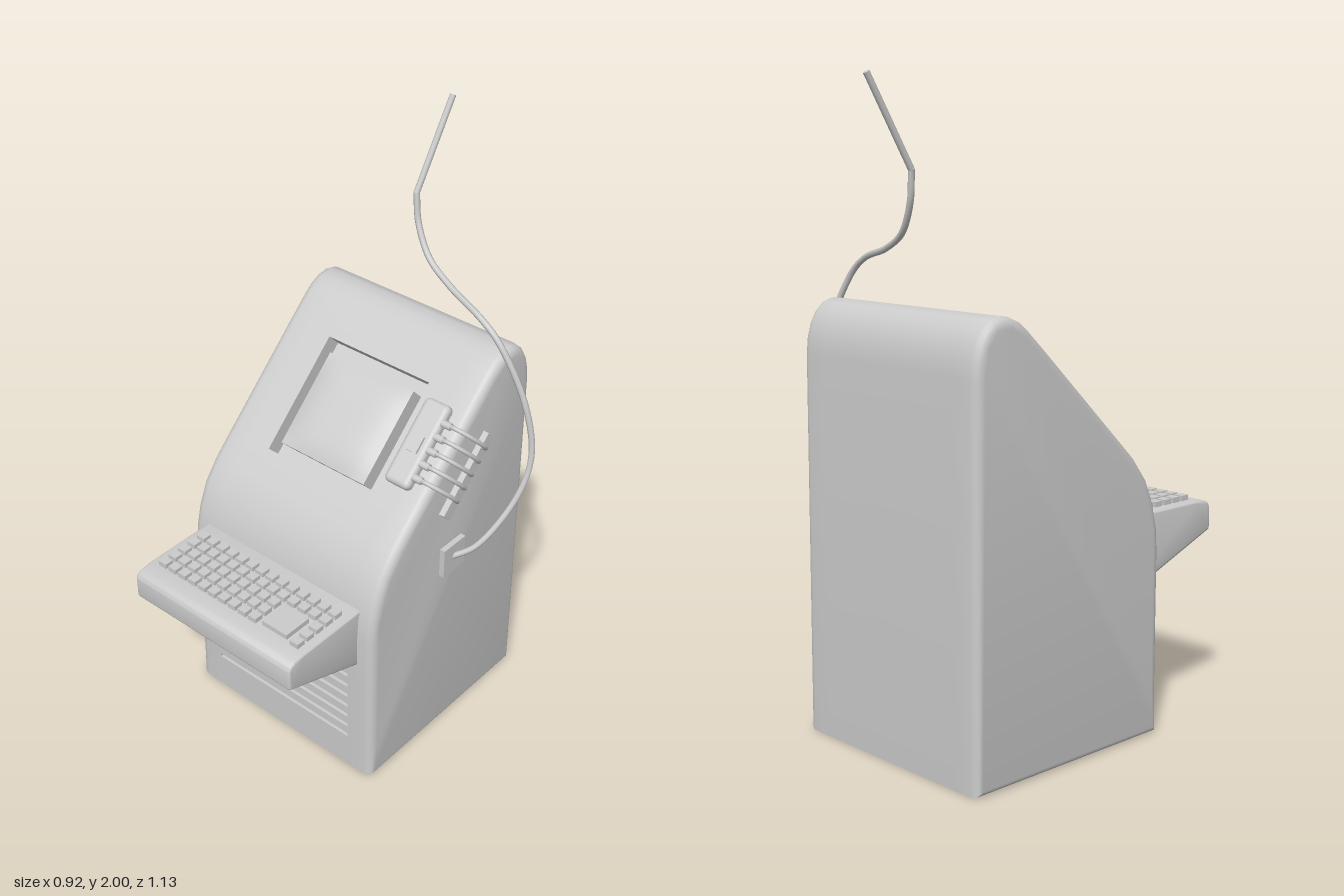
import * as THREE from 'three';
import { toCreasedNormals } from 'three/addons/utils/BufferGeometryUtils.js';
import { RoundedBoxGeometry } from 'three/addons/geometries/RoundedBoxGeometry.js';

const grey = new THREE.MeshStandardMaterial({ color: 0xcccccc });
const V = (x, y, z) => new THREE.Vector3(x, y, z);

function add(parent, name, geometry, x = 0, y = 0, z = 0) {
  const mesh = new THREE.Mesh(geometry, grey);
  mesh.name = name;
  mesh.position.set(x, y, z);
  parent.add(mesh);
  return mesh;
}

const box = (w, h, d) => new THREE.BoxGeometry(w, h, d);
const tube = (points, segments, radius) =>
  new THREE.TubeGeometry(new THREE.CatmullRomCurve3(points), segments, radius, 8);

// Cabinet: side profile swept across x with rounded ends, leaving out recessed openings
function cabinetGeometry() {
  const X0 = -0.46, X1 = 0.31, R = 0.03, STEPS = 4;
  const profile = [[0.26, 0]]; // [z, y], up the front, over the top, down the back
  const holes = [];
  for (let i = 0; i < 7; i++) {
    const y = 0.135 + i * 0.0445;
    holes.push({ j: profile.length, x0: -0.365, x1: 0.21, depth: 0.015 });
    profile.push([0.26, y - 0.007], [0.26, y + 0.007]);
  }
  profile.push([0.26, 0.58], [0.255, 0.65], [0.236, 0.73], [0.202, 0.81], [0.148, 0.88]);
  holes.push({ j: profile.length, x0: -0.28, x1: 0.125, depth: 0.06 });
  profile.push([0.075, 0.95], [-0.22, 1.23], [-0.295, 1.3], [-0.325, 1.323], [-0.36, 1.339],
    [-0.4, 1.345], [-0.435, 1.335], [-0.462, 1.31], [-0.482, 1.275], [-0.495, 1.23], [-0.5, 1.18], [-0.5, 0]);

  const n = profile.length;
  const edgeNormal = j => {
    const a = profile[(j + n) % n], b = profile[(j + 1) % n];
    return new THREE.Vector2(b[1] - a[1], a[0] - b[0]).normalize();
  };
  const normals = profile.map((p, j) => edgeNormal(j).add(edgeNormal(j - 1)).normalize());

  // Stations across the width: [x, inset of the profile]
  const stations = [];
  for (let k = 0; k <= STEPS; k++) {
    const a = k / STEPS * Math.PI / 2;
    stations.push([X0 + R * (1 - Math.cos(a)), R * (1 - Math.sin(a))]);
  }
  const mirrored = stations.map(([x, d]) => [X0 + X1 - x, d]).reverse();
  stations.push([-0.365, 0], [-0.28, 0], [0.125, 0], [0.21, 0], ...mirrored);

  const positions = [];
  const tri = (...pts) => pts.forEach(p => positions.push(p.x, p.y, p.z));
  const quad = (a, b, c, d) => { tri(a, b, c); tri(a, c, d); };
  const at = ([x, inset], j) => {
    const p = profile[j % n], m = normals[j % n];
    return V(x, p[1] - m.y * inset, p[0] - m.x * inset);
  };
  for (let i = 0; i < stations.length - 1; i++) {
    const s = stations[i], t = stations[i + 1];
    for (let j = 0; j < n; j++) {
      if (holes.some(h => h.j === j && s[0] >= h.x0 && t[0] <= h.x1)) continue;
      quad(at(s, j), at(t, j), at(t, j + 1), at(s, j + 1));
    }
  }
  // Walls and floor of each recess
  for (const { j, x0, x1, depth } of holes) {
    const m = edgeNormal(j);
    const rim = [at([x0, 0], j), at([x1, 0], j), at([x1, 0], j + 1), at([x0, 0], j + 1)];
    const floor = rim.map(p => V(p.x, p.y - m.y * depth, p.z - m.x * depth));
    quad(...floor);
    for (let k = 0; k < 4; k++) {
      const l = (k + 1) % 4;
      quad(rim[k], rim[l], floor[l], floor[k]);
    }
  }
  // Side caps
  for (const s of [stations[0], stations[stations.length - 1]]) {
    const ring = profile.map((p, j) => at(s, j));
    const faces = THREE.ShapeUtils.triangulateShape(ring.map(p => new THREE.Vector2(p.z, p.y)), []);
    for (const [a, b, c] of faces) {
      if (s[0] < 0) tri(ring[a], ring[b], ring[c]);
      else tri(ring[a], ring[c], ring[b]);
    }
  }
  const geometry = new THREE.BufferGeometry();
  geometry.setAttribute('position', new THREE.Float32BufferAttribute(positions, 3));
  return toCreasedNormals(geometry, 0.65);
}

// Screen: a box whose front bulges like a picture tube
function screenGeometry(w, h, d) {
  const geometry = new THREE.BoxGeometry(w, h, d, 14, 14, 1);
  const p = geometry.attributes.position;
  for (let i = 0; i < p.count; i++) {
    if (p.getZ(i) < 0) continue;
    const a = p.getX(i) / (w / 2), b = p.getY(i) / (h / 2);
    p.setZ(i, d / 2 + 0.02 * (1 - a ** 4) * (1 - b ** 4));
  }
  return toCreasedNormals(geometry, 0.6);
}

function keyboard() {
  const group = new THREE.Group();
  group.name = 'keyboard';
  // Wedge shelf, profile in z and y, extruded across x
  const shape = new THREE.Shape();
  shape.moveTo(0.22, 0.483);
  shape.lineTo(0.26, 0.47);
  shape.lineTo(0.557, 0.582);
  shape.quadraticCurveTo(0.565, 0.585, 0.565, 0.595);
  shape.lineTo(0.565, 0.655);
  shape.quadraticCurveTo(0.562, 0.677, 0.535, 0.682);
  shape.lineTo(0.5, 0.686);
  shape.lineTo(0.22, 0.686);
  const bevel = 0.008;
  const geometry = new THREE.ExtrudeGeometry(shape, {
    depth: 0.655 - 2 * bevel, curveSegments: 6, bevelSize: bevel, bevelThickness: bevel,
    bevelOffset: -bevel, bevelSegments: 3,
  });
  geometry.rotateY(-Math.PI / 2);
  add(group, 'keyboardShelf', toCreasedNormals(geometry, 0.6), 0.25 - bevel);

  for (let row = 0; row < 5; row++) {
    for (let col = 0; col < 14; col++) {
      if (row > 1 && col > 9 && col < 13) continue; // room for the large key
      add(group, 'key', box(0.032, 0.022, 0.031), -0.355 + col * 0.043, 0.692, 0.311 + row * 0.042);
    }
  }
  add(group, 'largeKey', box(0.1, 0.022, 0.1), 0.117, 0.692, 0.435);
  return group;
}

// Everything on the sloping face: local y runs up the slope, local z points out of it
function slopeParts() {
  const group = new THREE.Group();
  group.name = 'slopeParts';
  group.position.set(0, 1.09, -0.0725);
  group.rotation.x = -Math.atan2(0.295, 0.28);

  add(group, 'screen', screenGeometry(0.34, 0.325, 0.07), -0.075, -0.004, -0.03);
  add(group, 'controlPanel', new RoundedBoxGeometry(0.095, 0.285, 0.045, 4, 0.018), 0.2025, 0.02, 0.01);
  add(group, 'panelButton', box(0.04, 0.055, 0.02), 0.205, 0.015, 0.031);
  add(group, 'sideStrip', box(0.025, 0.29, 0.045), 0.317, 0.008, -0.136);

  // Plugs and short cables looping over the edge to the side strip
  for (let i = -2; i <= 2; i++) {
    const u = 0.015 + i * 0.046;
    const plug = add(group, 'plug', new THREE.CylinderGeometry(0.012, 0.012, 0.034, 12), 0.262, u, 0.02);
    plug.rotation.z = Math.PI / 2;
    add(group, 'shortCable', tube([V(0.265, u, 0.02), V(0.3, u, 0.028), V(0.335, u, 0.004),
      V(0.355, u, -0.05), V(0.35, u, -0.105), V(0.322, u, -0.136)], 24, 0.007));
  }
  return group;
}

export function createModel() {
  const model = new THREE.Group();
  model.name = 'terminal';
  add(model, 'cabinet', cabinetGeometry());
  model.add(keyboard(), slopeParts());

  // Wall socket and the long cable rising behind the cabinet
  add(model, 'socket', box(0.03, 0.105, 0.105), 0.313, 0.713, -0.118);
  const bend = V(-0.088, 1.73, -0.405);
  add(model, 'longCable', tube([V(0.315, 0.71, -0.11), V(0.38, 0.76, -0.16), V(0.44, 0.915, -0.275),
    V(0.45, 1.05, -0.322), V(0.41, 1.23, -0.322), V(0.315, 1.41, -0.305), V(0.245, 1.46, -0.31),
    V(0.09, 1.5, -0.35), V(-0.01, 1.55, -0.375), V(-0.07, 1.64, -0.395), bend], 90, 0.01));
  add(model, 'cableEnd', tube([bend, V(-0.08, 1.996, -0.557)], 1, 0.01));
  add(model, 'cableBend', new THREE.SphereGeometry(0.01, 10, 8), bend.x, bend.y, bend.z);
  const tip = add(model, 'cableTip', new THREE.CircleGeometry(0.01, 8), -0.08, 1.996, -0.557);
  tip.lookAt(-0.072, 2.262, -0.709);
  return model;
}
